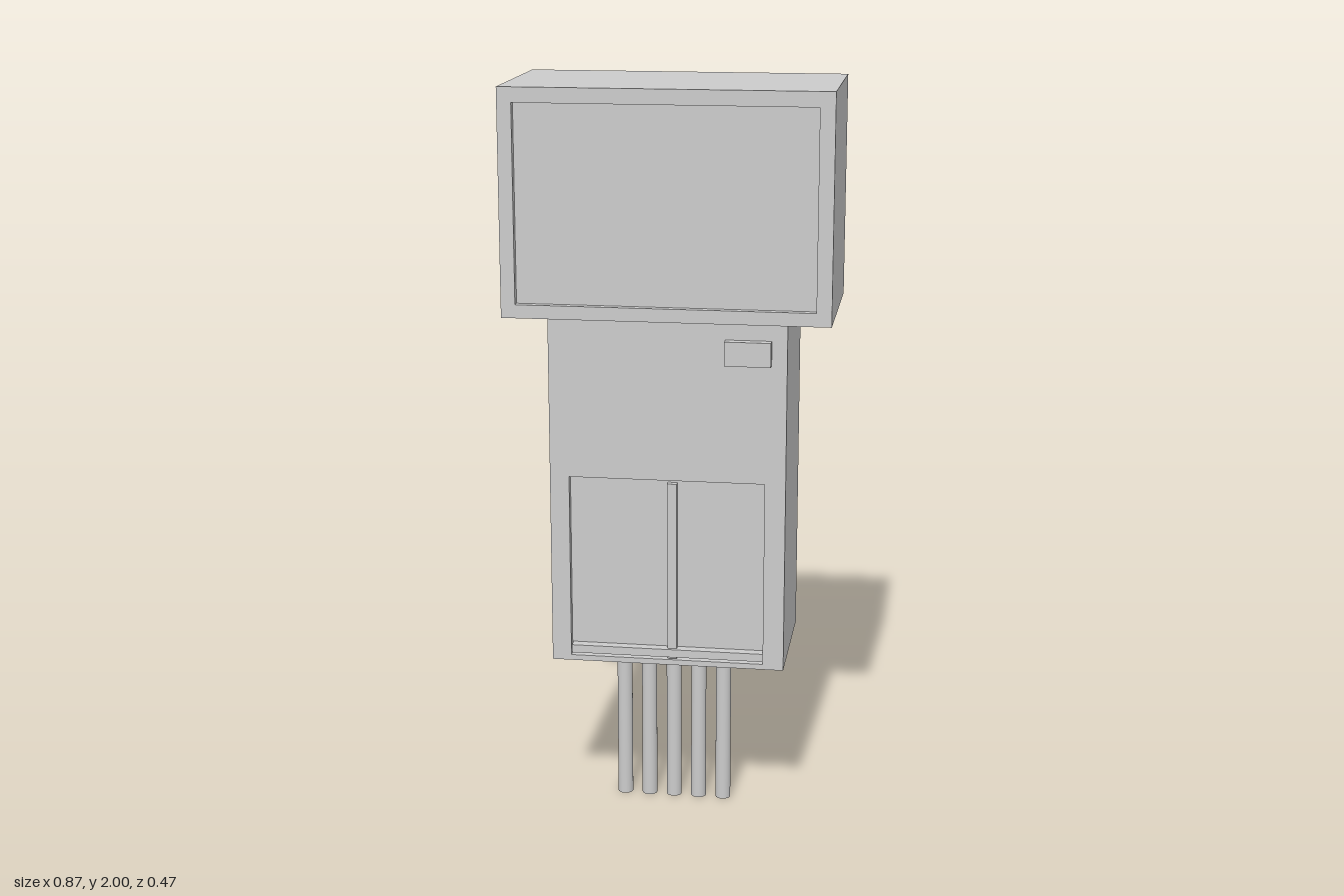
import * as THREE from 'three';

const material = new THREE.MeshStandardMaterial({ color: 0xcccccc });

function add(group, name, geometry) {
  const mesh = new THREE.Mesh(geometry, material);
  mesh.name = name;
  group.add(mesh);
  return mesh;
}

// Box given by its limits on each axis
function box(group, name, [x0, x1], [y0, y1], [z0, z1]) {
  const mesh = add(group, name, new THREE.BoxGeometry(x1 - x0, y1 - y0, z1 - z0));
  mesh.position.set((x0 + x1) / 2, (y0 + y1) / 2, (z0 + z1) / 2);
  return mesh;
}

function rect(Type, [x0, x1], [y0, y1]) {
  return new Type([
    new THREE.Vector2(x0, y0), new THREE.Vector2(x1, y0),
    new THREE.Vector2(x1, y1), new THREE.Vector2(x0, y1),
  ]);
}

// Rectangular plate with a rectangular opening, extruded along z
function frame(outerX, outerY, holeX, holeY, depth) {
  const shape = rect(THREE.Shape, outerX, outerY);
  shape.holes.push(rect(THREE.Path, holeX, holeY));
  return new THREE.ExtrudeGeometry(shape, { depth, bevelEnabled: false });
}

export function createModel() {
  const model = new THREE.Group();
  model.name = 'handheldDevice';

  // Head with a shallow screen recess
  const head = new THREE.Group();
  head.name = 'head';
  model.add(head);
  const headX = [-0.433, 0.433], headY = [1.4, 2];
  box(head, 'headCase', headX, headY, [-0.218, 0.214]);
  add(head, 'screenFrame', frame(headX, headY, [-0.395, 0.393], [1.436, 1.96], 0.02)).position.z = 0.214;

  // Hollow ring on the back of the head
  const ringShape = new THREE.Shape().absarc(0, 0, 0.039, 0, Math.PI * 2);
  ringShape.holes.push(new THREE.Path().absarc(0, 0, 0.032, 0, Math.PI * 2, true));
  const ring = add(head, 'backRing', new THREE.ExtrudeGeometry(ringShape, {
    depth: 0.018, bevelEnabled: false, curveSegments: 24,
  }));
  ring.position.set(0.003, 1.83, -0.235);

  // Body, open underneath with a slot behind the pins
  const body = new THREE.Group();
  body.name = 'body';
  model.add(body);
  const bodyX = [-0.317, 0.317], bodyY = [0.44, 1.4];
  const shell = add(body, 'bodyShell', frame(bodyX, [-0.177, 0.193], [-0.297, 0.297], [0.01, 0.176], 0.96));
  shell.rotation.x = -Math.PI / 2;
  shell.position.y = 0.44;

  // Front plate with the lower recessed panel
  add(body, 'frontPlate', frame(bodyX, bodyY, [-0.265, 0.261], [0.455, 0.963], 0.02)).position.z = 0.177;
  box(body, 'panelDivider', [0, 0.026], [0.458, 0.953], [0.17, 0.195]);
  box(body, 'panelLedge', [-0.262, 0.261], [0.465, 0.487], [0.17, 0.205]);
  box(body, 'button', [0.154, 0.276], [1.286, 1.351], [0.19, 0.222]);

  // Row of five pins
  for (let i = -2; i <= 2; i++) {
    const pin = add(model, 'pin', new THREE.CylinderGeometry(0.021, 0.021, 0.46, 24));
    pin.position.set(i * 0.0695, 0.23, 0.063);
  }
  return model;
}
